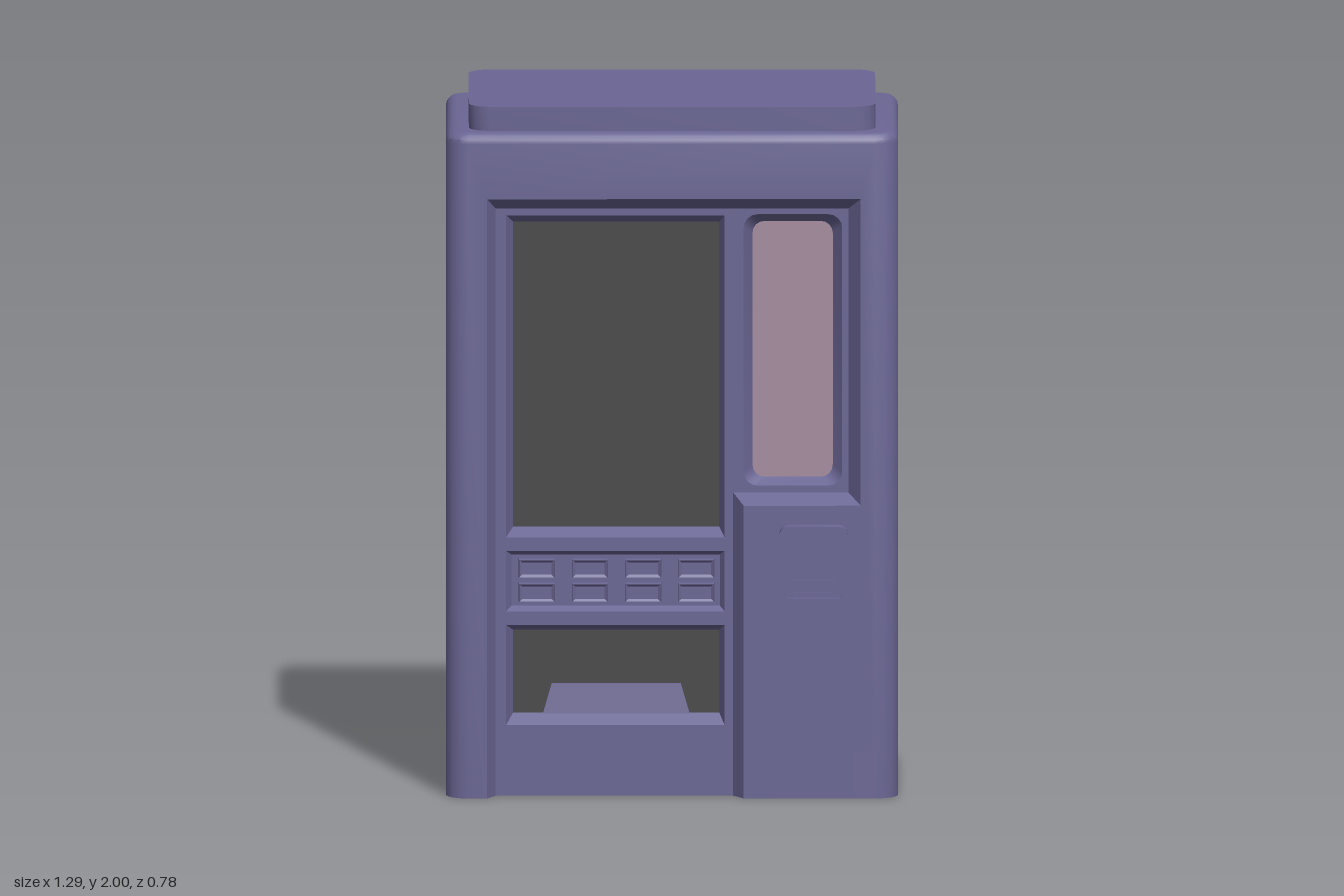
import * as THREE from 'three';
import { mergeGeometries, toCreasedNormals } from 'three/addons/utils/BufferGeometryUtils.js';

const paint = (color) => new THREE.MeshStandardMaterial({ color, side: THREE.DoubleSide });
const V = (x, y, z) => new THREE.Vector3(x, y, z);

// Counter-clockwise (rounded) rectangle as a list of 2D points
function rect(x0, x1, y0, y1, r = 0, n = 4) {
  const pts = [];
  [[x1, y0, -1, 1], [x1, y1, -1, -1], [x0, y1, 1, -1], [x0, y0, 1, 1]].forEach(([x, y, sx, sy], k) => {
    if (!r) return pts.push(new THREE.Vector2(x, y));
    for (let i = 0; i <= n; i++) {
      const a = (k - 1 + i / n) * Math.PI / 2;
      pts.push(new THREE.Vector2(x + sx * r + r * Math.cos(a), y + sy * r + r * Math.sin(a)));
    }
  });
  return pts;
}
const poly = (list) => list.map(([x, y]) => new THREE.Vector2(x, y));
const atZ = (loop, z) => loop.map((p) => V(p.x, p.y, z));
const atY = (loop, y) => loop.map((p) => V(p.x, y, -p.y));

// Skin between two matching loops
function skin(a, b, closed = true) {
  const pts = [];
  for (let i = 0; i < a.length - (closed ? 0 : 1); i++) {
    const j = (i + 1) % a.length;
    pts.push(a[i], a[j], b[j], a[i], b[j], b[i]);
  }
  return new THREE.BufferGeometry().setFromPoints(pts);
}

// Flat plate with optional openings
function plate(loop, holes = [], z = 0) {
  const s = new THREE.Shape(loop);
  s.holes = holes.map((h) => new THREE.Path(h));
  const g = new THREE.ShapeGeometry(s).toNonIndexed();
  g.deleteAttribute('uv');
  g.deleteAttribute('normal');
  return g.translate(0, 0, z);
}

export function createModel() {
  const model = new THREE.Group();
  const body = paint(0x6a6694), glass = paint(0xa58d9f), dark = paint(0x484848);
  const add = (name, geos, mat) => {
    const merged = mergeGeometries([].concat(geos));
    const mesh = new THREE.Mesh(toCreasedNormals(merged, 0.5), mat);
    mesh.name = name;
    model.add(mesh);
    return mesh;
  };

  const X = 0.647, ZF = 0.35, ZB = -0.39, R = 0.065, RIM = 0.03, H = 1.93, HW = H - RIM;
  const shell = [];

  // Rounded vertical corners
  const ring = rect(-X, X, -ZF, -ZB, R);
  for (let k = 0; k < 4; k++) {
    const arc = ring.slice(k * 5, k * 5 + 5);
    shell.push(skin(atY(arc, 0), atY(arc, HW), false));
  }

  // Rolled top edge and roof
  const roll = (i) => {
    const a = i / 4 * Math.PI / 2, d = RIM * (1 - Math.cos(a));
    return atY(rect(-X + d, X - d, -ZF + d, -ZB - d, R - d), HW + RIM * Math.sin(a));
  };
  for (let i = 0; i < 4; i++) shell.push(skin(roll(i), roll(i + 1)));
  shell.push(plate(rect(-X + RIM, X - RIM, -ZF + RIM, -ZB - RIM, R - RIM)).rotateX(-Math.PI / 2).translate(0, H, 0));

  // Back wall
  shell.push(plate(rect(-X + R, X - R, 0, HW)).rotateY(Math.PI).translate(0, 0, ZB));

  // Side walls, each with a bevelled window
  for (const s of [1, -1]) {
    const place = (g) => g.rotateY(s * Math.PI / 2).translate(s * X, 0, 0);
    const span = (z0, z1, y0, y1) => (s > 0 ? rect(-z1, -z0, y0, y1) : rect(z0, z1, y0, y1));
    const outer = span(-0.29, 0.26, 0.56, 1.71), inner = span(-0.265, 0.23, 0.61, 1.655);
    shell.push(place(plate(span(ZB + R, ZF - R, 0, HW), [outer])));
    shell.push(place(skin(atZ(outer, 0), atZ(inner, -0.05))));
    add(s > 0 ? 'leftSideWindow' : 'rightSideWindow', place(plate(inner, [], -0.05)), glass);
  }

  // Front wall wrapping round an L-shaped recess that is open at the floor
  const ZP = 0.30;
  const lip = [[0.205, 0], [0.205, 0.85], [0.54, 0.85], [0.54, 1.74], [-0.53, 1.74], [-0.53, 0]];
  const inset = [[0.175, 0], [0.175, 0.88], [0.505, 0.88], [0.505, 1.705], [-0.505, 1.705], [-0.505, 0]];
  const e = X - R;
  shell.push(plate(poly([[e, 0], [e, HW], [-e, HW], [-e, 0], ...lip.slice().reverse()]), [], ZF));
  shell.push(skin(atZ(poly(lip), ZF), atZ(poly(inset), ZP), false));
  add('cabinet', shell, body);

  // Recessed front panel with four bevelled openings
  const openings = [
    { name: 'displayWindow', a: rect(-0.475, 0.15, 0.75, 1.685), b: rect(-0.455, 0.135, 0.775, 1.66), d: 0.04, mat: dark },
    { name: 'trayBack', a: rect(-0.475, 0.15, 0.205, 0.495), b: rect(-0.455, 0.135, 0.235, 0.475), d: 0.04, mat: dark },
    { name: 'keypadBack', a: rect(-0.475, 0.15, 0.535, 0.71), b: rect(-0.46, 0.137, 0.548, 0.697), d: 0.02, mat: body },
    { name: 'slimWindow', a: rect(0.205, 0.487, 0.9, 1.688, 0.04), b: rect(0.23, 0.46, 0.92, 1.663, 0.035), d: 0.035, mat: glass },
  ];
  const panel = [plate(poly(inset), openings.map((o) => o.a), ZP)];
  for (const o of openings) {
    panel.push(skin(atZ(o.a, ZP), atZ(o.b, ZP - o.d)));
    add(o.name, plate(o.b, [], ZP - o.d), o.mat);
  }
  add('frontPanel', panel, body);

  // Keypad buttons: tapered blocks with a sunken face
  const buttons = [];
  for (let c = 0; c < 4; c++) for (let r = 0; r < 2; r++) {
    const x = -0.387 + c * 0.152, y = 0.588 + r * 0.07;
    const box = (w, h) => rect(x - w, x + w, y - h, y + h);
    buttons.push(
      skin(atZ(box(0.052, 0.027), 0.28), atZ(box(0.05, 0.025), 0.298)),
      skin(atZ(box(0.05, 0.025), 0.298), atZ(box(0.042, 0.018), 0.292)),
      plate(box(0.042, 0.018), [], 0.292));
  }
  add('buttons', buttons, body);

  // Tray flap leaning back, and the chute housing behind it
  const flapFront = poly([[-0.37, 0.235], [0.05, 0.235], [0.025, 0.32], [-0.345, 0.32]]);
  const front = flapFront.map((p) => V(p.x, p.y, p.y < 0.3 ? 0.28 : 0.268));
  add('trayFlap', [skin(atZ(flapFront, 0.26), front),
    new THREE.BufferGeometry().setFromPoints([0, 1, 2, 0, 2, 3].map((i) => front[i]))], body);
  const back = rect(-0.455, 0.135, 0.3, 0.475);
  add('trayHousing', [skin(atZ(back, 0.12), atZ(openings[1].b, 0.255)), plate(back, [], 0.12)], body);

  // Coin unit: rounded frame, sunken face and coin return
  const bezel = new THREE.Shape(rect(0.307, 0.503, 0.575, 0.795, 0.025));
  bezel.holes.push(new THREE.Path(rect(0.322, 0.488, 0.588, 0.783, 0.012)));
  const extrude = (s, depth) => new THREE.ExtrudeGeometry(s, { depth, bevelEnabled: false });
  add('coinFrame', extrude(bezel, 0.04).translate(0, 0, ZF), body);
  add('coinFace', plate(rect(0.322, 0.488, 0.588, 0.783, 0.012), [], 0.375), body);
  const chute = new THREE.Shape(rect(0.34, 0.465, 0.598, 0.637));
  chute.holes.push(new THREE.Path(rect(0.347, 0.458, 0.604, 0.631)));
  add('coinReturn', extrude(chute, 0.01).translate(0, 0, 0.375), body);

  // Raised cap on the roof
  add('topCap', extrude(new THREE.Shape(rect(-0.582, 0.582, -0.30, 0.34, 0.06)), 0.07)
    .rotateX(-Math.PI / 2).translate(0, H, 0), body);

  return model;
}
